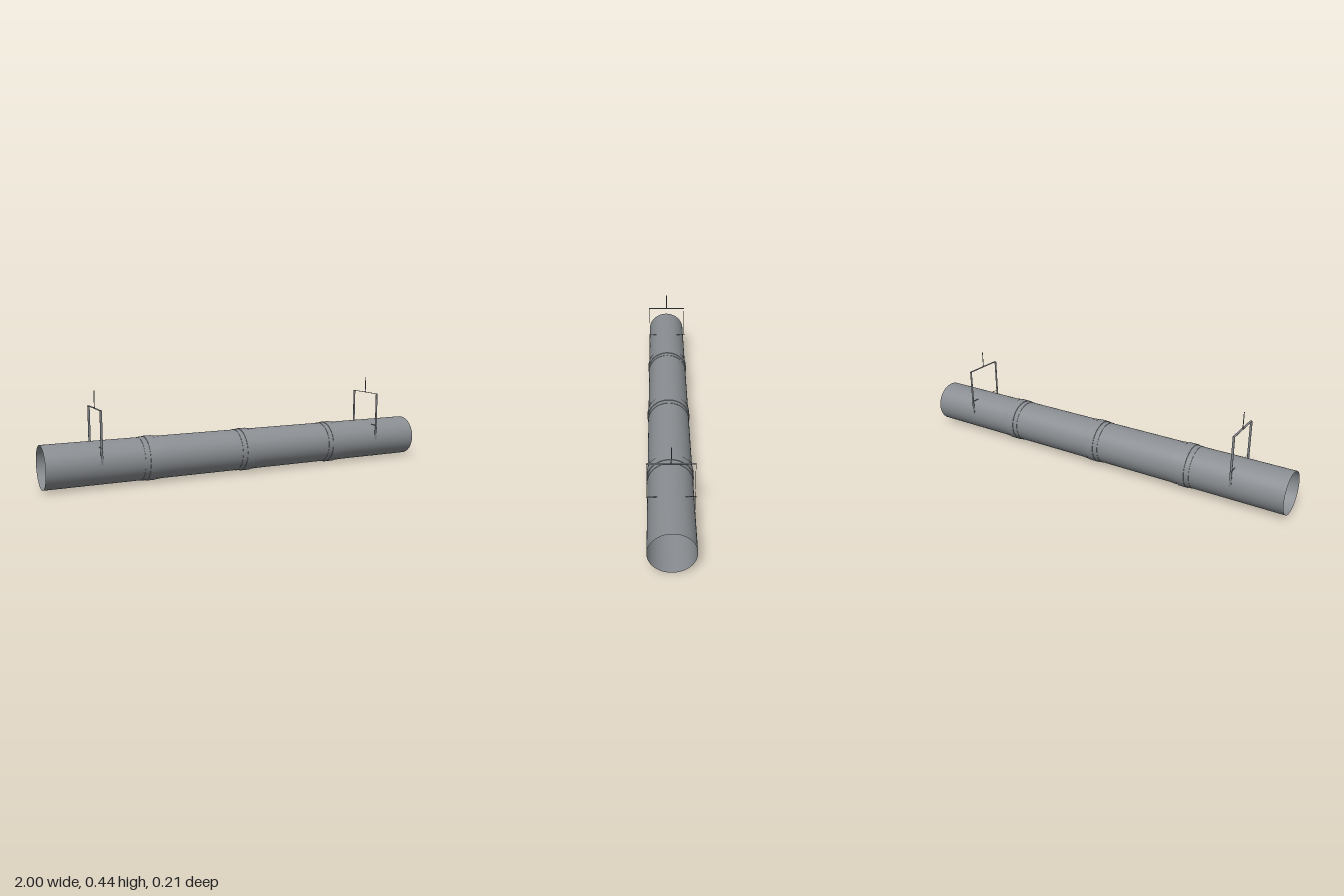
import * as THREE from 'three';

const AXIS_Y = 0.106;   // height of the duct axis
const DUCT_R = 0.1015;

export function createModel() {
  const model = new THREE.Group();
  model.name = 'suspendedDuct';
  const ductSteel = new THREE.MeshStandardMaterial({ color: 0x8a8e92, side: THREE.DoubleSide });
  ductSteel.name = 'duct steel';
  const hangerSteel = new THREE.MeshStandardMaterial({ color: 0x7f8387 });
  hangerSteel.name = 'hanger steel';

  function add(parent, name, geometry, material, x = 0, y = 0, z = 0) {
    const mesh = new THREE.Mesh(geometry, material);
    mesh.name = name;
    mesh.position.set(x, y, z);
    parent.add(mesh);
    return mesh;
  }

  // open sleeve along x
  const sleeve = (radius, length) =>
    new THREE.CylinderGeometry(radius, radius, length, 64, 1, true).rotateZ(Math.PI / 2);

  // flat-sided ring along x with a hole through it
  function ring(outer, inner, width) {
    const shape = new THREE.Shape().absarc(0, 0, outer, 0, Math.PI * 2, false);
    shape.holes.push(new THREE.Path().absarc(0, 0, inner, 0, Math.PI * 2, true));
    return new THREE.ExtrudeGeometry(shape, { depth: width, bevelEnabled: false, curveSegments: 32 })
      .translate(0, 0, -width / 2).rotateY(Math.PI / 2);
  }

  // duct
  add(model, 'duct', sleeve(DUCT_R, 2), ductSteel, 0, AXIS_Y);

  // couplings: a wide sleeve with a raised band in the middle
  for (const x of [-0.5, 0, 0.5]) {
    const coupling = new THREE.Group();
    coupling.name = 'coupling';
    coupling.position.set(x, AXIS_Y, 0);
    add(coupling, 'couplingSleeve', ring(0.1032, 0.1005, 0.092), ductSteel);
    add(coupling, 'couplingBand', ring(0.106, 0.1025, 0.042), ductSteel);
    model.add(coupling);
  }

  // hangers
  const strapWidth = 0.011, strapT = 0.0012, strapR = 0.1012, strapTop = 0.358;
  for (const x of [-0.75, 0.75]) {
    const hanger = new THREE.Group();
    hanger.name = 'hanger';
    hanger.position.x = x;

    // closed strap: half circle under the duct, straight sides and a flat top
    const topY = strapTop - AXIS_Y;
    const outline = new THREE.Shape();
    outline.moveTo(strapR, topY).lineTo(-strapR, topY).lineTo(-strapR, 0);
    outline.absarc(0, 0, strapR, Math.PI, Math.PI * 2, false);
    const r = strapR - strapT;
    const hole = new THREE.Path();
    hole.moveTo(r, topY - strapT).lineTo(r, 0);
    hole.absarc(0, 0, r, Math.PI * 2, Math.PI, true);
    hole.lineTo(-r, topY - strapT);
    outline.holes.push(hole);
    const strap = new THREE.ExtrudeGeometry(outline, { depth: strapWidth, bevelEnabled: false, curveSegments: 32 })
      .translate(0, 0, -strapWidth / 2).rotateY(Math.PI / 2);
    add(hanger, 'strap', strap, hangerSteel, 0, AXIS_Y);

    // cross bolt with a head at each end
    add(hanger, 'crossBolt', new THREE.CylinderGeometry(0.0015, 0.0015, 0.208, 10).rotateX(Math.PI / 2),
      hangerSteel, 0, 0.188);
    for (const side of [-1, 1]) {
      add(hanger, 'boltHead', new THREE.CylinderGeometry(0.0032, 0.0032, 0.003, 6).rotateX(Math.PI / 2),
        hangerSteel, 0, 0.188, side * 0.1035);
    }

    // threaded rod and nut
    add(hanger, 'rod', new THREE.CylinderGeometry(0.002, 0.002, 0.083, 12), hangerSteel, 0, 0.3965);
    add(hanger, 'rodNut', new THREE.CylinderGeometry(0.004, 0.004, 0.004, 6), hangerSteel, 0, 0.361);
    model.add(hanger);
  }
  return model;
}
